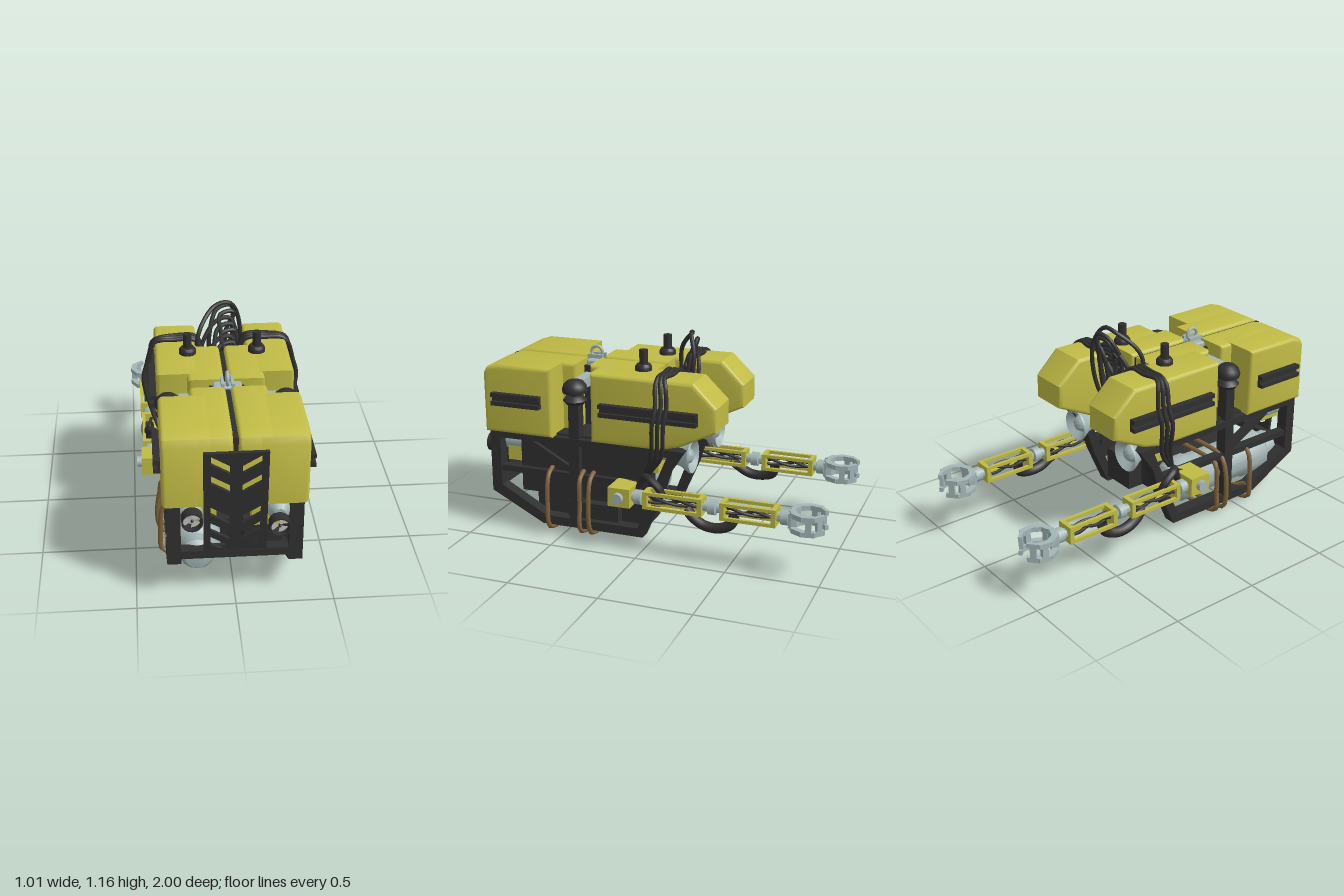
import * as THREE from 'three';
import { toCreasedNormals } from 'three/addons/utils/BufferGeometryUtils.js';
import { RoundedBoxGeometry } from 'three/addons/geometries/RoundedBoxGeometry.js';

const paint = (color) => new THREE.MeshStandardMaterial({ color, side: THREE.DoubleSide });
const yellow = paint(0xc0bb45), black = paint(0x303030), steel = paint(0xa3b5b5);
const brown = paint(0x80633a), pale = paint(0xcfc8c4);

export function createModel() {
  const root = new THREE.Group();
  const add = (name, geo, mat, parent = root) => {
    const m = new THREE.Mesh(geo, mat);
    m.name = name;
    parent.add(m);
    return m;
  };
  // Box given by its extents
  const box = (name, mat, x0, x1, y0, y1, z0, z1, parent) => {
    const m = add(name, new THREE.BoxGeometry(Math.abs(x1 - x0), y1 - y0, Math.abs(z1 - z0)), mat, parent);
    m.position.set((x0 + x1) / 2, (y0 + y1) / 2, (z0 + z1) / 2);
    return m;
  };
  // Side profile of [z, y] points, extruded from xa to xb
  const profile = (name, mat, pts, xa, xb, bevel = 0, holes = []) => {
    const toV = (l) => l.map(([z, y]) => new THREE.Vector2(z, y));
    const shape = new THREE.Shape(toV(pts));
    shape.holes = holes.map((h) => new THREE.Path(toV(h)));
    const g = new THREE.ExtrudeGeometry(shape, {
      depth: Math.abs(xb - xa) - 2 * bevel, bevelEnabled: bevel > 0,
      bevelSize: bevel, bevelThickness: bevel, bevelOffset: -bevel, bevelSegments: 4,
    });
    g.rotateY(-Math.PI / 2).translate(Math.max(xa, xb) - bevel, 0, 0);
    return add(name, toCreasedNormals(g, 0.6), mat);
  };
  const lathe = (pts, seg = 24) => new THREE.LatheGeometry(pts.map((p) => new THREE.Vector2(...p)), seg);
  // Round part along z from [radius, z] points, listed from the +z end
  const turnedZ = (name, mat, pts, x, y, parent, seg) => {
    const m = add(name, toCreasedNormals(lathe([...pts].reverse(), seg).rotateX(Math.PI / 2), 0.6), mat, parent);
    m.position.set(x, y, 0);
    return m;
  };
  // Round upright part from [radius, y] points
  const turnedY = (name, mat, pts, x, z) => {
    const m = add(name, toCreasedNormals(lathe(pts), 0.6), mat);
    m.position.set(x, 0, z);
    return m;
  };
  const tube = (name, mat, pts, r, closed = false, parent = root) => {
    const c = new THREE.CatmullRomCurve3(pts.map((p) => new THREE.Vector3(...p)), closed, 'centripetal');
    return add(name, new THREE.TubeGeometry(c, 56, r, 8, closed), mat, parent);
  };

  // Side profiles of the buoyancy blocks and frame
  const prong = [[0.31, 0.57], [0.31, 0.955], [-0.27, 0.955], [-0.4, 0.83], [-0.4, 0.7], [-0.2, 0.6], [-0.08, 0.57]];
  const foreCore = [[0.38, 0.57], [0.38, 0.955], [0, 0.955], [0, 0.57]];
  const tail = [[0.95, 0.565], [0.95, 0.9], [0.93, 0.935], [0.87, 0.955], [0.54, 0.955], [0.54, 0.565]];
  const tailCore = tail.map(([z, y]) => [z === 0.54 ? 0.46 : z, y]);
  const frame = [[0.93, 0.57], [0.93, 0.21], [0.62, 0.05], [0.02, 0.05], [-0.08, 0.28], [-0.13, 0.44], [-0.22, 0.57]];
  const frameHoles = [
    [[0.87, 0.53], [0.87, 0.25], [0.6, 0.1], [0.45, 0.1], [0.45, 0.53]],
    [[0.39, 0.53], [0.39, 0.1], [0.05, 0.1], [-0.07, 0.41], [-0.12, 0.53]],
  ];

  for (const s of [1, -1]) {
    // Buoyancy blocks
    profile('frontFloat', yellow, prong, s * 0.13, s * 0.36, 0.022);
    profile('frontFloatCore', yellow, foreCore, s * 0.012, s * 0.2, 0.022);
    profile('rearFloat', yellow, tail, s * 0.1, s * 0.36, 0.022);
    profile('rearFloatCore', yellow, tailCore, s * 0.012, s * 0.2, 0.022);

    // Channelled bumper rails
    for (const [z0, z1] of [[0.6, 0.89], [-0.3, 0.25]]) {
      box('bumperBase', black, s * 0.35, s * 0.375, 0.73, 0.8, z0, z1);
      for (const y of [0.73, 0.777]) box('bumperLip', black, s * 0.37, s * 0.395, y, y + 0.023, z0, z1);
    }

    // Side frame
    profile('sideFrame', black, frame, s * 0.27, s * 0.34, 0, frameHoles);
    box('sideRail', black, s * 0.28, s * 0.33, 0.33, 0.365, -0.05, 0.92);
    const brace = box('frameBrace', black, s * 0.285, s * 0.325, 0.43, 0.465, 0.4, 0.74);
    brace.rotation.x = -0.5;

    // Mushroom bollard on its post, with a steel tie block
    box('bollardPost', black, s * 0.27, s * 0.335, 0.5, 0.77, 0.39, 0.45);
    turnedY('bollard', black, [[0, 0.76], [0.05, 0.765], [0.066, 0.785], [0.05, 0.805], [0.035, 0.812], [0.035, 0.822],
      [0.066, 0.828], [0.07, 0.845], [0.062, 0.872], [0.042, 0.892], [0.02, 0.9], [0, 0.902]], s * 0.305, 0.42);
    box('tieBlock', steel, s * 0.08, s * 0.25, 0.83, 0.885, 0.39, 0.45);

    // Deck mast
    turnedY('mast', black, [[0, 0.94], [0.046, 0.94], [0.046, 0.975], [0.036, 0.99], [0.023, 0.99], [0.023, 1.068], [0, 1.068]], s * 0.185, 0.068);

    // Flared lamp with a domed lens
    turnedZ('lamp', steel, [[0, 0.05], [0.038, 0.05], [0.038, -0.1], [0.05, -0.12], [0.06, -0.17], [0.092, -0.225], [0.09, -0.235],
      [0.05, -0.195], [0.045, -0.205], [0.033, -0.222], [0.015, -0.232], [0, -0.234]], s * 0.23, 0.515);

    // Thruster with ducted propeller
    const py = s > 0 ? 0.455 : 0.505, px = s * 0.215;
    const duct = add('thrusterDuct', toCreasedNormals(
      lathe([[0.046, -0.03], [0.053, -0.03], [0.053, 0.03], [0.046, 0.03], [0.046, -0.03]], 28).rotateX(Math.PI / 2), 0.6), black);
    duct.position.set(px, py, 0.968);
    const hub = add('propellerHub', new THREE.SphereGeometry(0.008, 12, 8), black);
    hub.position.set(px, py, 0.98);
    for (let i = 0; i < 3; i++) {
      const blade = add('propellerBlade', new THREE.CircleGeometry(0.045, 10, 0, 1.3), pale);
      blade.position.set(px, py, 0.975);
      blade.rotation.set(0.15, 0.15, i * 2.094 + 0.4);
    }
    turnedZ('thrusterBody', steel, [[0, 0.94], [0.03, 0.94], [0.06, 0.9], [0.06, 0.78], [0.05, 0.74], [0, 0.72]], s * 0.22, 0.495);
    box('thrusterMount', yellow, s * 0.09, s * 0.27, s > 0 ? 0.38 : 0.44, s > 0 ? 0.505 : 0.56, 0.74, s > 0 ? 0.86 : 0.89);

    // Cables strapped over the prong and down to the shoulder
    for (let i = 0; i < 3; i++) {
      const z = -0.07 - i * 0.028, o = i * 0.009;
      tube('strapCable', black, [[s * 0.07, 0.72, z], [s * 0.115, 0.93, z - o], [s * 0.15, 0.966, z], [s * 0.25, 0.966, z], [s * 0.335, 0.963, z + o],
        [s * 0.372, 0.93, z], [s * (0.405 - o), 0.82, z - 0.01], [s * (0.425 - o), 0.73, z], [s * 0.385, 0.55, z + 0.02], [s * 0.34, 0.43, -o]], 0.012);
    }

    // Manipulator arm
    const arm = new THREE.Group();
    arm.name = 'arm';
    arm.position.set(s * 0.4, 0.312, 0);
    root.add(arm);
    box('shoulder', yellow, -s * 0.11, s * 0.052, -0.053, 0.053, 0.05, 0.175, arm);
    const pivot = add('shoulderPivot', new THREE.CylinderGeometry(0.03, 0.03, 0.04, 20).rotateZ(Math.PI / 2), steel, arm);
    pivot.position.set(s * 0.058, 0, 0.115);
    const joint = (z0, z1) => {
      const mid = (z0 + z1) / 2;
      turnedZ('armJoint', steel, [[0, z0], [0.026, z0], [0.026, mid + 0.025], [0.04, mid + 0.02], [0.04, mid - 0.02],
        [0.026, mid - 0.025], [0.026, z1], [0, z1]], 0, 0, arm, 16);
    };
    joint(0.05, -0.02);
    joint(-0.34, -0.46);
    joint(-0.74, -0.84);
    for (const [z0, z1, w] of [[-0.02, -0.35, 0.042], [-0.45, -0.75, 0.05]]) {
      for (const z of [z0, z1 + 0.025]) box('linkEnd', yellow, -w, w, -0.048, 0.048, z - 0.025, z, arm);
      for (const x of [-1, 1]) for (const y of [-1, 1])
        box('linkRail', yellow, x * w, x * (w - 0.018), y * 0.039 - 0.009, y * 0.039 + 0.009, z0, z1, arm);
      for (let i = 0; i < 3; i++) {
        const pts = [0, 1, 2, 3, 4, 5].map((k) => [0.018 * Math.sin(k * 1.1 + i * 2), 0.02 * Math.cos(k * 0.9 + i * 2.1), z0 + (z1 - z0) * k / 5]);
        tube('linkCable', black, pts, 0.009, false, arm);
      }
    }
    // Hoses at the elbow and shoulder
    tube('elbowHose', black, [[0, -0.03, -0.26], [s * 0.015, -0.06, -0.29], [s * 0.02, -0.1, -0.36], [s * 0.02, -0.105, -0.44], [s * 0.01, -0.08, -0.5], [0, -0.03, -0.52]], 0.029, false, arm);
    tube('shoulderHose', black, [[-s * 0.06, 0.02, 0.04], [-s * 0.04, 0.1, 0], [0, 0.11, -0.04], [s * 0.01, 0.07, -0.1], [0, 0.02, -0.12]], 0.022, false, arm);

    // Gripper: two curved jaws of plates joined by posts
    box('gripperBase', steel, -0.045, 0.045, -0.04, 0.04, -0.845, -0.815, arm);
    for (const j of [1, -1]) for (let i = 0; i < 4; i++) {
      const a = 0.4 + i * 0.67;
      const seg = new THREE.Group();
      seg.name = 'jawSegment';
      seg.position.set(j * 0.083 * Math.sin(a), 0, -0.915 + 0.083 * Math.cos(a));
      seg.rotation.y = j * a;
      arm.add(seg);
      const d = i === 3 ? 0.01 : 0.016;
      for (const y of [-0.04, 0.04]) box('jawPlate', steel, -0.033, 0.033, y - 0.013, y + 0.013, -d, d, seg);
      if (i !== 1) box('jawPost', steel, -0.016, 0.016, -0.045, 0.045, -d, d, seg);
    }
  }

  // Seam strip, centre column, deck and cross members
  box('seamStrip', black, -0.013, 0.013, 0.58, 0.935, 0.02, 0.93);
  box('centreColumn', black, -0.09, 0.09, 0.57, 0.92, 0.375, 0.465);
  box('deck', black, -0.3, 0.3, 0.545, 0.58, 0, 0.9);
  box('frontCrossbar', black, -0.3, 0.3, 0.24, 0.285, 0.87, 0.93);
  box('armBeam', yellow, -0.2, 0.2, 0.38, 0.46, -0.02, 0.06);
  box('sidePanel', black, 0.275, 0.3, 0.22, 0.55, -0.02, 0.76);

  // Equipment boxes and pressure tank
  box('equipmentBox', black, 0.065, 0.27, 0.085, 0.27, 0.02, 0.68);
  box('smallEquipmentBox', black, -0.07, 0.05, 0.105, 0.28, 0.1, 0.66);
  box('sideModule', black, 0.26, 0.325, 0.11, 0.2, 0.17, 0.47);
  turnedZ('tank', steel, [[0, 0.9], [0.065, 0.89], [0.09, 0.86], [0.09, 0.8], [0.128, 0.76], [0.13, 0.62], [0.12, 0.6], [0.12, 0.26],
    [0.13, 0.24], [0.13, 0.16], [0.1, 0.09], [0.05, 0.06], [0, 0.05]], -0.185, 0.215, root, 14);

  // Chevron grille
  const plate = new THREE.Shape([[-0.158, 0.287], [0.156, 0.287], [0.156, 0.892], [-0.158, 0.892]].map((p) => new THREE.Vector2(...p)));
  for (const y of [0.875, 0.76, 0.565, 0.465, 0.375]) for (const s of [1, -1])
    plate.holes.push(new THREE.Path([[0.123, y], [0.03, y - 0.06], [0.03, y - 0.108], [0.123, y - 0.048]].map(([x, v]) => new THREE.Vector2(s * x, v))));
  const grille = add('grille', new THREE.ExtrudeGeometry(plate, { depth: 0.018, bevelEnabled: false }).translate(0, -0.57, 0), black);
  grille.position.set(0, 0.57, 0.94);
  grille.rotation.x = 0.1;

  // Lifting shackle
  const ring = add('shackle', new THREE.TorusGeometry(0.033, 0.009, 10, 28).rotateY(Math.PI / 2), steel);
  ring.position.set(0, 0.98, 0.42);
  const pad = add('shacklePad', new RoundedBoxGeometry(0.15, 0.05, 0.07, 2, 0.012), steel);
  pad.position.set(0, 0.925, 0.42);
  for (const s of [1, -1]) box('shackleLug', steel, s * 0.018, s * 0.034, 0.93, 0.972, 0.375, 0.465);

  // Cable loops rising between the prongs, leaning back as they cross
  for (let i = 0; i < 8; i++) {
    const a = -0.12 + 0.022 * i, b = 0.11 - 0.012 * i, h = 1.15 - 0.032 * ((i * 3) % 8);
    const z0 = -0.04 - 0.012 * ((i * 5) % 8), z1 = -0.19 + 0.014 * ((i * 3) % 8), zm = (z0 + z1) / 2 - 0.02, m = (a + b) / 2 + 0.02;
    tube('cableLoop', black, [[a * 0.6, 0.55, 0.01], [a, 0.75, z0], [a, h - 0.14, z0], [m - 0.04, h - 0.02, zm], [m + 0.04, h - 0.01, zm - 0.02],
      [b, h - 0.12, z1], [b, 0.75, z1 + 0.04], [b * 0.5, 0.55, -0.02]], 0.012);
  }

  // Hose loops slung around the underside
  for (const [z, k] of [[0.57, 0], [0.38, 0.012], [0.32, -0.006]]) {
    tube('slungHose', brown, [[-0.3, 0.345 + k, z], [-0.345, 0.32, z], [-0.365 - k, 0.15, z], [-0.36, 0.045, z], [-0.31, 0.018, z], [0, 0.022, z - 0.01],
      [0.32, 0.03, z], [0.37, 0.06, z], [0.38 - k, 0.2, z], [0.362, 0.34, z], [0.32, 0.375, z], [0, 0.35 + k, z]], 0.013, true);
  }
  tube('slungHose', brown, [[-0.34, 0.12, 0.56], [-0.25, 0.085, 0.52], [0, 0.055, 0.45], [0.3, 0.03, 0.38]], 0.013);
  return root;
}
